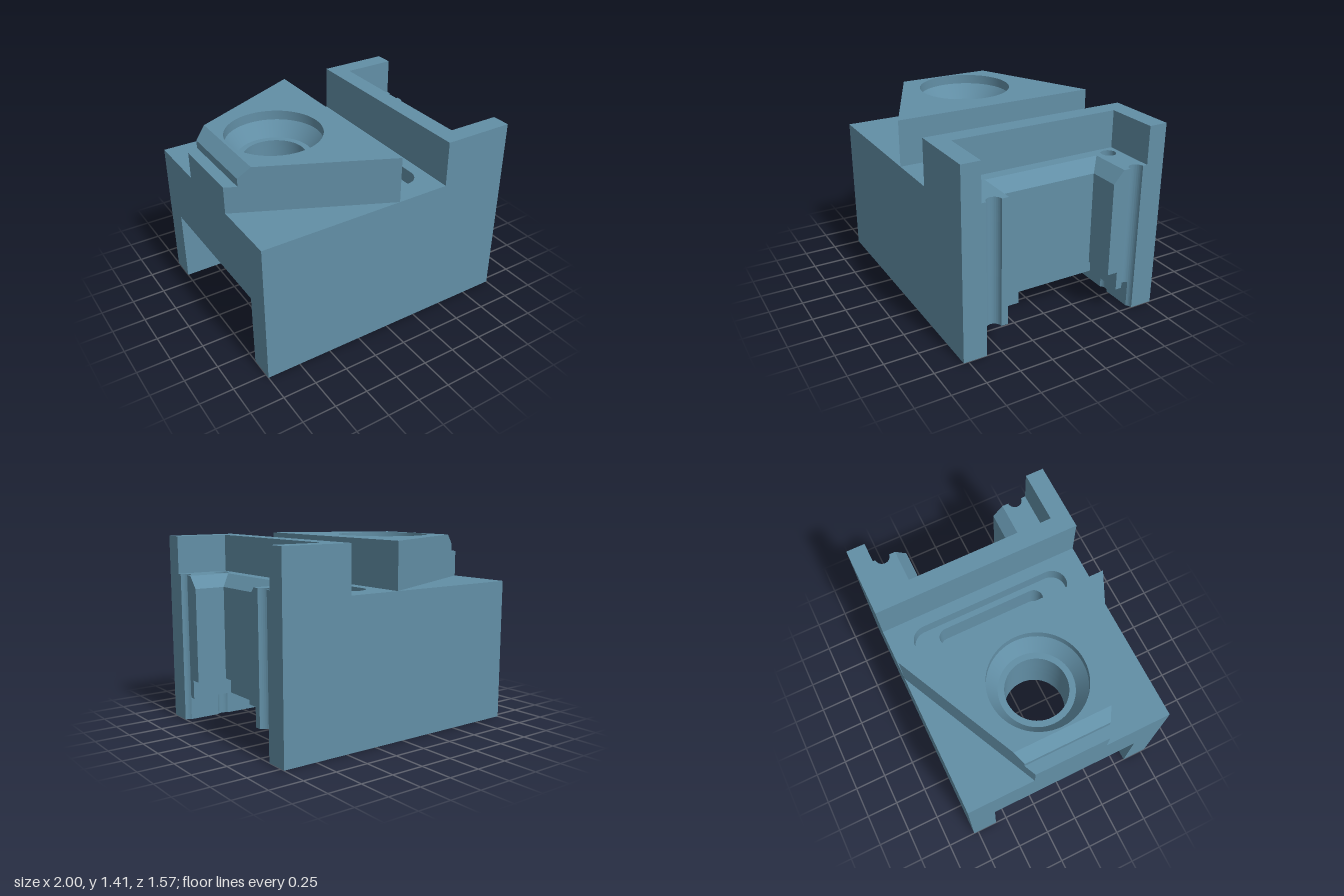
import * as THREE from 'three';
import { toCreasedNormals } from 'three/addons/utils/BufferGeometryUtils.js';

const W = 0.785;          // half depth of the block
const BORE_X = -0.465;    // centre of the round bore
const PIN_Z = 0.555, PIN_R = 0.055, PIN_X = 0.685;

export function createModel() {
  const group = new THREE.Group();
  const mat = new THREE.MeshStandardMaterial({ color: 0x628fa6 });
  const thin = new THREE.MeshStandardMaterial({ color: 0x628fa6, side: THREE.DoubleSide });

  const add = (name, geo, m = mat) => {
    const mesh = new THREE.Mesh(geo, m);
    mesh.name = name;
    group.add(mesh);
    return mesh;
  };

  // Plan outline extruded upwards from y0 to y1
  const slab = (name, shape, y0, y1, holes = []) => {
    shape.holes.push(...holes);
    const geo = new THREE.ExtrudeGeometry(shape, { depth: y1 - y0, bevelEnabled: false, curveSegments: 32 });
    geo.rotateX(-Math.PI / 2).translate(0, y0, 0);
    return add(name, toCreasedNormals(geo, 0.5));
  };

  // Surface made of four-cornered faces
  const faces = (name, quads) => {
    const pos = quads.flatMap(([a, b, c, d]) => [a, b, c, a, c, d].flat());
    const geo = new THREE.BufferGeometry();
    geo.setAttribute('position', new THREE.Float32BufferAttribute(pos, 3));
    geo.computeVertexNormals();
    return add(name, geo, thin);
  };

  const poly = (pts) => new THREE.Shape(pts.map(([x, y]) => new THREE.Vector2(x, y)));
  const circle = (x, y, r) => new THREE.Path().absarc(x, y, r, 0, Math.PI * 2, false);
  const slot = (r, half) => {
    const p = new THREE.Path();
    p.absarc(0.262, half - r, r, 0, Math.PI, false);
    p.absarc(0.262, r - half, r, Math.PI, Math.PI * 2, false);
    p.closePath();
    return p;
  };
  const pins = () => [circle(PIN_X, PIN_Z, PIN_R), circle(PIN_X, -PIN_Z, PIN_R)];
  const bore = (r) => circle(BORE_X, 0, r);

  // Block outline from x0 to the right end, with the throat and half pin holes cut in
  const body = (x0, tx, tz) => {
    const s = new THREE.Shape();
    s.moveTo(x0, -W);
    s.lineTo(1, -W);
    s.lineTo(1, -PIN_Z - PIN_R);
    s.absarc(1, -PIN_Z, PIN_R, -Math.PI / 2, Math.PI / 2, true);
    s.lineTo(1, -tz);
    s.lineTo(tx, -tz);
    s.lineTo(tx, tz);
    s.lineTo(1, tz);
    s.lineTo(1, PIN_Z - PIN_R);
    s.absarc(1, PIN_Z, PIN_R, -Math.PI / 2, Math.PI / 2, true);
    s.lineTo(1, W);
    s.lineTo(x0, W);
    s.closePath();
    return s;
  };

  // Legs, nicked where the pin holes run past them
  const legZ = 0.59;
  const nick = Math.asin((legZ - PIN_Z) / PIN_R), dx = PIN_R * Math.cos(nick);
  for (const side of [1, -1]) {
    const s = new THREE.Shape();
    s.moveTo(-1, W);
    s.lineTo(-1, legZ);
    s.lineTo(PIN_X - dx, legZ);
    s.absarc(PIN_X, PIN_Z, PIN_R, Math.PI - nick, nick, true);
    s.lineTo(1 - dx, legZ);
    s.absarc(1, PIN_Z, PIN_R, Math.PI - nick, Math.PI / 2, true);
    s.lineTo(1, W);
    s.closePath();
    slab('leg', s, 0, 0.2).scale.z = side;
    const upper = new THREE.BoxGeometry(1.295, 0.365, W - legZ);
    upper.translate(-0.3525, 0.3825, side * (W + legZ) / 2);
    add('upperLeg', upper);
  }

  // Block, layer by layer: throat foot, throat, undercut bore, slots
  slab('throatFoot', body(0.295, 0.685, 0.45), 0.2, 0.34, pins());
  slab('throatWall', body(0.295, 0.77, 0.37), 0.34, 0.565, pins());
  slab('lowerBlock', body(-1, 0.77, 0.37), 0.565, 0.76, [...pins(), bore(0.42)]);
  slab('middleBlock', body(-1, 0.77, 0.37), 0.76, 0.96, [...pins(), bore(0.225), slot(0.07, 0.425)]);
  slab('upperBlock', body(-1, 0.77, 0.37), 0.96, 1.04, [...pins(), bore(0.225), slot(0.113, 0.617)]);
  slab('blockTop', body(-1, 0.685, 0.45), 1.04, 1.07, [...pins(), bore(0.225), slot(0.113, 0.617)]);
  slab('throatLip', body(0.465, 0.685, 0.45), 1.07, 1.13, pins());

  // Raised wall around the recess at the right end
  slab('recessWall', poly([[0.465, -W], [1, -W], [1, -0.645], [0.6, -0.645],
    [0.6, 0.645], [1, 0.645], [1, W], [0.465, W]]), 1.13, 1.41);

  // Mitred bevel around the throat's upper edge
  const low = [[1, 1.04, -0.37], [0.77, 1.04, -0.37], [0.77, 1.04, 0.37], [1, 1.04, 0.37]];
  const high = [[1, 1.13, -0.45], [0.685, 1.13, -0.45], [0.685, 1.13, 0.45], [1, 1.13, 0.45]];
  const bevel = [0, 1, 2].map((i) => [low[i], low[i + 1], high[i + 1], high[i]]);
  for (const s of [1, -1]) {
    const a = [1, 1.04, 0.37 * s], b = [1, 1.04, 0.45 * s], c = [1, 1.13, 0.45 * s];
    bevel.push(s > 0 ? [a, c, b, b] : [a, b, c, c]);
  }
  faces('throatBevel', bevel);

  // Tapered head with a stepped nose
  const halfZ = (x) => 0.28 + (x + 1) * (W - 0.28) / 1.065;
  const taper = (x0) => poly([[x0, -halfZ(x0)], [0.065, -W], [0.065, W], [x0, halfZ(x0)]]);
  const n0 = -0.915, n1 = -0.83;
  slab('headBase', taper(-1), 1.07, 1.23, [bore(0.225)]);
  slab('headStep', taper(-1), 1.23, 1.27, [bore(0.35)]);
  slab('headNose', taper(n0), 1.27, 1.33, [bore(0.35)]);
  slab('headTop', taper(n1), 1.33, 1.41, [bore(0.35)]);
  const nose = [[[n0, 1.33, -halfZ(n0)], [n0, 1.33, halfZ(n0)], [n1, 1.41, halfZ(n1)], [n1, 1.41, -halfZ(n1)]]];
  for (const s of [1, -1]) {
    const a = [n0, 1.33, s * halfZ(n0)], b = [n1, 1.33, s * halfZ(n1)], c = [n1, 1.41, s * halfZ(n1)];
    nose.push(s > 0 ? [a, b, c, c] : [a, c, b, b]);
  }
  faces('noseChamfer', nose);

  // Conical seat inside the bore
  const seat = new THREE.LatheGeometry([new THREE.Vector2(0.27, 1.23), new THREE.Vector2(0.35, 1.34)], 64);
  add('boreSeat', seat.translate(BORE_X, 0, 0), thin);

  return group;
}
